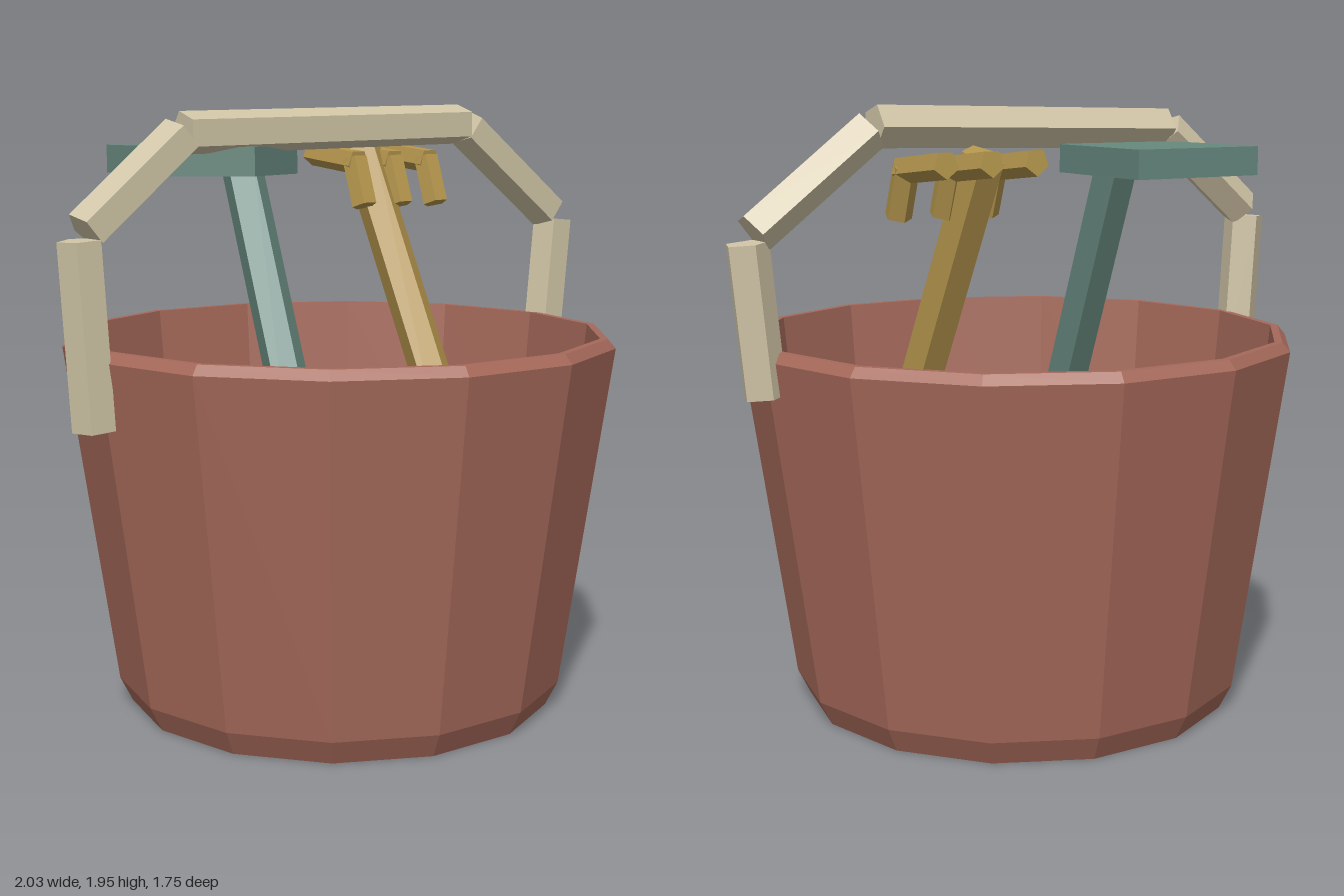
import * as THREE from 'three';

const flat = (name, color) => new THREE.MeshStandardMaterial({ name, color, flatShading: true });

// Five-sided bar from a to b; turn rotates its cross-section
function bar(name, a, b, r, material, turn = 0) {
  const from = new THREE.Vector3(...a), to = new THREE.Vector3(...b);
  const dir = to.clone().sub(from);
  const geo = new THREE.CylinderGeometry(r, r, dir.length(), 5);
  geo.rotateY(turn);
  const mesh = new THREE.Mesh(geo, material);
  mesh.name = name;
  mesh.quaternion.setFromUnitVectors(new THREE.Vector3(0, 1, 0), dir.normalize());
  mesh.position.copy(from.add(to).multiplyScalar(0.5));
  return mesh;
}

export function createModel() {
  const clay = flat('clay red', 0xa5695a);
  const teal = flat('dull teal', 0x67897f);
  const ochre = flat('ochre', 0xb4954c);
  const cream = flat('cream', 0xd0c4a6);

  const model = new THREE.Group();
  model.name = 'toolBucket';

  // Bucket: 14-sided, chamfered foot and rim, hollow inside
  const profile = [
    [0, 0], [0.7, 0], [0.74, 0.08], [0.9, 1.19], [0.875, 1.22], [0.85, 1.22],
    [0.79, 0.6], [0.65, 0.1], [0, 0.1],
  ].map(([r, y]) => new THREE.Vector2(r, y));
  const bucket = new THREE.Mesh(new THREE.LatheGeometry(profile, 14, Math.PI / 2), clay);
  bucket.name = 'bucket';
  model.add(bucket);

  // Carrying handle: five separate bars forming an arch
  const handle = new THREE.Group();
  handle.name = 'handle';
  [
    [[-0.91, 0.985], [-0.945, 1.555]],
    [[-0.925, 1.58], [-0.592, 1.855]],
    [[-0.585, 1.863], [0.52, 1.885]],
    [[0.54, 1.873], [0.925, 1.58]],
    [[0.905, 1.085], [0.95, 1.55]],
  ].forEach(([a, b]) => handle.add(bar('handleBar', [...a, -0.005], [...b, -0.005], 0.069, cream, Math.PI)));
  model.add(handle);

  // Tool shaft: upright foot, then a length leaning backwards
  function shaft(foot, bend, top, material) {
    const g = new THREE.Group();
    g.name = 'shaft';
    g.add(bar('shaftFoot', foot, bend, 0.07, material), bar('shaftLength', bend, top, 0.07, material));
    return g;
  }

  // Shovel with a flat pointed blade
  const shovel = new THREE.Group();
  shovel.name = 'shovel';
  shovel.add(shaft([-0.28, 0.1, 0.16], [-0.275, 0.85, 0.18], [-0.235, 1.76, -0.22], teal));
  const outline = [[-0.585, -0.1], [-0.37, 0.06], [-0.125, -0.06], [-0.08, -0.55], [-0.557, -0.53]];
  const bladeGeo = new THREE.ExtrudeGeometry(
    new THREE.Shape(outline.map(([x, z]) => new THREE.Vector2(x, -z))),
    { depth: 0.09, bevelEnabled: false });
  bladeGeo.rotateX(-Math.PI / 2);
  const blade = new THREE.Mesh(bladeGeo, teal);
  blade.name = 'blade';
  blade.position.y = 1.73;
  shovel.add(blade);
  model.add(shovel);

  // Hand rake with three bent tines
  const rake = new THREE.Group();
  rake.name = 'rake';
  rake.add(shaft([0.335, 0.1, 0.16], [0.33, 0.85, 0.18], [0.268, 1.8, -0.235], ochre));
  for (const x of [0.19, 0.345, 0.5]) {
    rake.add(bar('tine', [x, 1.785, -0.41], [x, 1.76, -0.15], 0.043, ochre));
    rake.add(bar('tineTip', [x, 1.77, -0.17], [x, 1.615, -0.115], 0.043, ochre));
  }
  model.add(rake);

  return model;
}
